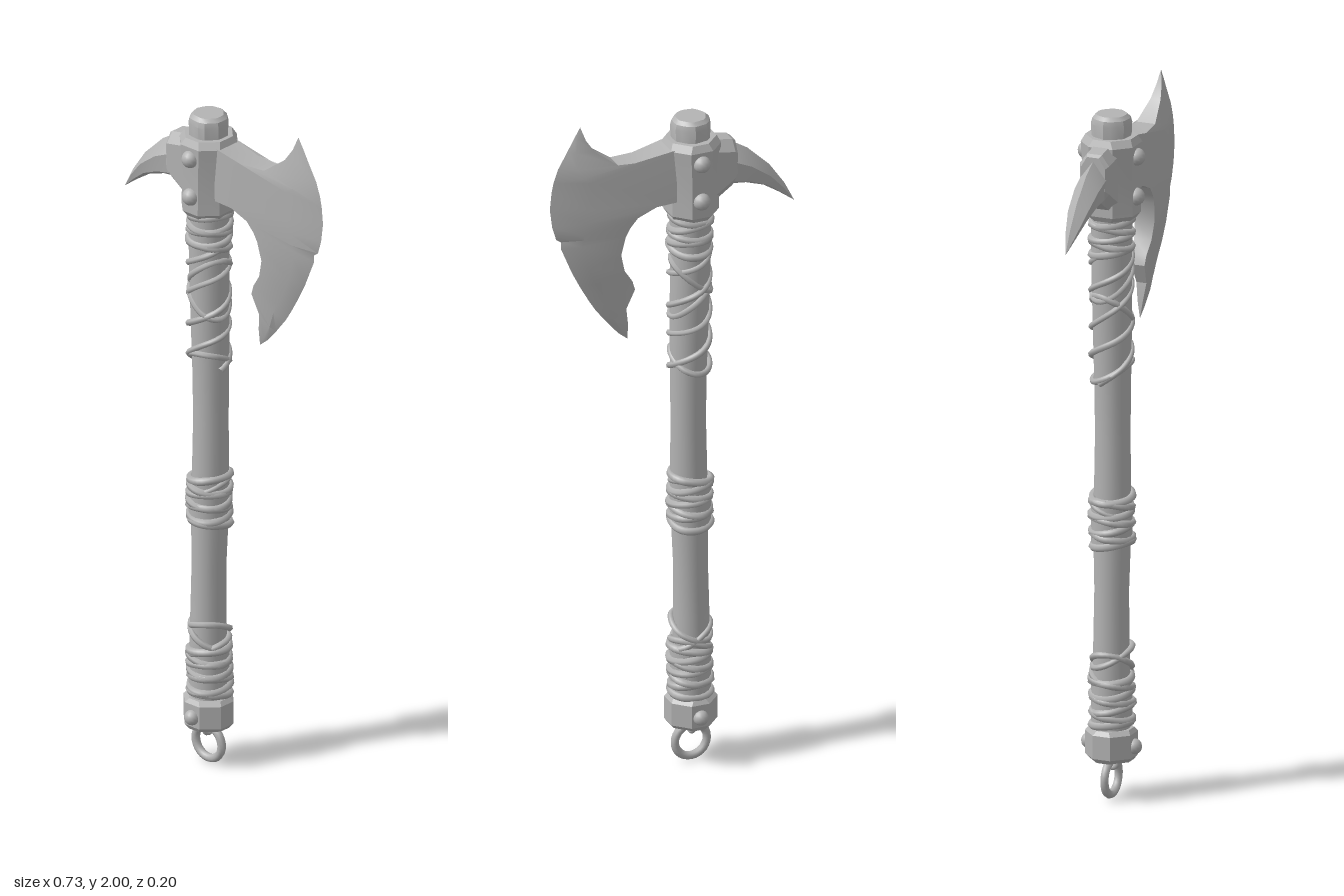
import * as THREE from 'three';
import { toCreasedNormals } from 'three/addons/utils/BufferGeometryUtils.js';

const CX = -0.06; // handle axis

// Closed skin through rings of [x, y, z] points, turned to face outward
function loft(rings, crease = 0.5) {
  const n = rings[0].length, tris = [];
  for (let i = 0; i < rings.length - 1; i++) {
    for (let j = 0; j < n; j++) {
      const k = (j + 1) % n, a = rings[i], b = rings[i + 1];
      tris.push([a[j], a[k], b[k]], [a[j], b[k], b[j]]);
    }
  }
  const first = rings[0], last = rings[rings.length - 1];
  for (let j = 1; j < n - 1; j++) {
    tris.push([first[0], first[j + 1], first[j]], [last[0], last[j], last[j + 1]]);
  }
  let volume = 0;
  const v = tris.map((t) => t.map((p) => new THREE.Vector3(...p)));
  const mid = v[Math.floor(v.length / 2)][0];
  for (const [a, b, c] of v) {
    const p = a.clone().sub(mid), q = b.clone().sub(mid), r = c.clone().sub(mid);
    volume += p.dot(q.cross(r));
  }
  const pos = [];
  for (const [a, b, c] of v) {
    for (const p of volume < 0 ? [a, c, b] : [a, b, c]) pos.push(p.x, p.y, p.z);
  }
  const g = new THREE.BufferGeometry();
  g.setAttribute('position', new THREE.Float32BufferAttribute(pos, 3));
  return toCreasedNormals(g, crease);
}

// Chamfered octagon ring at height y
function octagon(y, hx, hz, cx, cut = 0.042) {
  return [[hx, hz - cut], [hx - cut, hz], [cut - hx, hz], [-hx, hz - cut],
    [-hx, cut - hz], [cut - hx, -hz], [hx - cut, -hz], [hx, cut - hz]]
    .map(([x, z]) => [cx + x, y, z]);
}

// Cord wound about the handle from y0 to y1
function cord(y0, y1, turns, phase, radius, thick, tilt = 0, closed = false) {
  const pts = [], steps = Math.ceil(turns * 16);
  for (let i = 0; i < steps + (closed ? 0 : 1); i++) {
    const t = i / steps, a = phase + t * turns * Math.PI * 2;
    const r = radius + 0.002 * Math.sin(a * 3 + y0 * 40);
    pts.push(new THREE.Vector3(CX + 0.003 + r * Math.cos(a),
      y0 + (y1 - y0) * t + tilt * Math.sin(a + phase * 2), r * Math.sin(a)));
  }
  const curve = new THREE.CatmullRomCurve3(pts, closed);
  return new THREE.TubeGeometry(curve, steps * 2, thick, 6, closed);
}

export function createModel() {
  const model = new THREE.Group();
  const grey = new THREE.MeshStandardMaterial({ color: 0xb3b3b3 });
  grey.name = 'grey';
  const add = (name, geometry, x = 0, y = 0, z = 0) => {
    const mesh = new THREE.Mesh(geometry, grey);
    mesh.name = name;
    mesh.position.set(x, y, z);
    model.add(mesh);
    return mesh;
  };

  // Slightly crooked wooden shaft
  const profile = [[0, 0.13], [0.052, 0.14], [0.054, 0.3], [0.05, 0.45], [0.048, 0.6], [0.052, 0.75],
    [0.051, 0.9], [0.049, 1.05], [0.051, 1.2], [0.054, 1.35], [0.056, 1.5], [0.056, 1.75], [0, 1.76]];
  const shaft = new THREE.LatheGeometry(profile.map((p) => new THREE.Vector2(...p)), 20);
  const sp = shaft.attributes.position;
  for (let i = 0; i < sp.count; i++) {
    const y = sp.getY(i);
    sp.setX(i, sp.getX(i) + 0.005 * Math.sin((y - 0.7) * 4.2));
  }
  shaft.computeVertexNormals();
  add('shaft', toCreasedNormals(shaft, 0.7), CX + 0.003);

  // Worn shaft end above the head
  const knob = [[1.88, 0.053], [1.945, 0.056], [1.96, 0.052], [1.97, 0.042]].map(([y, r]) =>
    Array.from({ length: 18 }, (_, i) => {
      const a = (i / 18) * Math.PI * 2, k = r * (1 + 0.035 * Math.sin(i * 2.3));
      return [CX + k * Math.cos(a), y, k * Math.sin(a)];
    }));
  add('shaftEnd', loft(knob));

  // Head socket
  add('headSocket', loft([octagon(1.675, 0.062, 0.066, CX), octagon(1.69, 0.07, 0.076, CX),
    octagon(1.78, 0.069, 0.074, CX), octagon(1.89, 0.075, 0.078, CX), octagon(1.91, 0.066, 0.068, CX)], 0.3));

  // Blade stations: back x, y, half thickness, then cutting edge x, y
  const stations = [
    [0.272, 2.0, 0, 0.272, 2.0], [0.258, 1.96, 0.008, 0.291, 1.968], [0.235, 1.925, 0.015, 0.312, 1.93],
    [0.17, 1.876, 0.028, 0.338, 1.885], [0.09, 1.874, 0.036, 0.352, 1.845],
    [0.0, 1.895, 0.042, 0.358, 1.815], [0.0, 1.735, 0.042, 0.363, 1.765], [0.06, 1.732, 0.041, 0.356, 1.71],
    [0.115, 1.708, 0.038, 0.344, 1.67], [0.138, 1.68, 0.036, 0.33, 1.66], [0.15, 1.655, 0.034, 0.33, 1.64],
    [0.162, 1.6, 0.03, 0.297, 1.56], [0.15, 1.548, 0.026, 0.272, 1.51], [0.125, 1.51, 0.022, 0.245, 1.462],
    [0.116, 1.482, 0.02, 0.225, 1.43], [0.14, 1.425, 0.015, 0.19, 1.385],
    [0.132, 1.375, 0.008, 0.158, 1.348], [0.13, 1.325, 0, 0.13, 1.325]];
  add('blade', loft(stations.map(([bx, by, t, ex, ey]) => {
    const at = (k, z) => [bx + (ex - bx) * k, by + (ey - by) * k, z];
    return [at(0, t), at(0.7, t * 0.75), at(1, 0), at(0.7, -t * 0.75), at(0, -t)];
  }), 0.45));

  // Curved back spike: top x, y, bottom x, y, half thickness
  const spike = [[-0.1, 1.89, -0.1, 1.745, 0.04], [-0.175, 1.873, -0.185, 1.738, 0.039],
    [-0.23, 1.838, -0.225, 1.733, 0.036], [-0.295, 1.775, -0.278, 1.715, 0.029],
    [-0.34, 1.71, -0.325, 1.684, 0.016], [-0.37, 1.65, -0.37, 1.65, 0]];
  add('backSpike', loft(spike.map(([tx, ty, bx, by, t]) => {
    const at = (k, z) => [tx + (bx - tx) * k, ty + (by - ty) * k, z];
    return [at(0, 0), at(0.4, t), at(0.85, t * 0.8), at(1, 0), at(0.85, -t * 0.8), at(0.4, -t)];
  }), 0.45));

  // Collar where the spike meets the socket
  add('spikeCollar', loft([[-0.185, 1.878, 1.755, 0.036], [-0.175, 1.885, 1.745, 0.044],
    [-0.11, 1.897, 1.7, 0.045]].map(([x, top, low, t]) => [
    [x, top, t * 0.5], [x, top - 0.03, t], [x, low + 0.03, t], [x, low, t * 0.5],
    [x, low, -t * 0.5], [x, low + 0.03, -t], [x, top - 0.03, -t], [x, top, -t * 0.5]]), 0.4));

  // Pommel cap
  add('pommelCap', loft([octagon(0.115, 0.06, 0.06, CX), octagon(0.128, 0.069, 0.068, CX),
    octagon(0.195, 0.069, 0.068, CX), octagon(0.207, 0.06, 0.06, CX)], 0.3));

  // Rivets, front and back
  for (const [y, z, r] of [[1.855, 0.075, 0.025], [1.74, 0.073, 0.025], [0.157, 0.068, 0.022]]) {
    for (const side of [1, -1]) {
      add('rivet', new THREE.SphereGeometry(r, 14, 10), CX, y, side * z);
    }
  }

  // Hanging ring and its eyelet
  add('hangingRing', new THREE.TorusGeometry(0.048, 0.012, 8, 28), CX, 0.06, 0);
  add('eyelet', new THREE.TorusGeometry(0.018, 0.008, 8, 16), CX, 0.106, 0).rotation.y = Math.PI / 2;

  // Wrapped bands: bottom, top, number of cords
  for (const [y0, y1, count] of [[1.575, 1.665, 5], [0.735, 0.87, 7], [0.22, 0.35, 7]]) {
    add('wrapSleeve', new THREE.CylinderGeometry(0.057, 0.057, y1 - y0, 18, 1), CX + 0.002, (y0 + y1) / 2, 0);
    for (let i = 0; i < count; i++) {
      const y = y0 + ((y1 - y0) * i) / (count - 1);
      const tilt = 0.006 + 0.007 * Math.abs(Math.sin(i * 2.1 + y0));
      add('wrapCord', cord(y, y, 1, i * 1.7, 0.055, 0.0115, tilt, true));
    }
  }

  // Loose cords crossing along the shaft
  add('crossCord', cord(1.58, 1.21, 2, 0.3, 0.056, 0.009));
  add('crossCord', cord(1.58, 1.21, -2 * -1, 3.4, 0.056, 0.008, 0.012));
  for (const [y, phase, tilt] of [[1.49, 0.6, 0.05], [1.41, 2.2, 0.045], [1.23, 0.2, 0.03],
    [0.85, 1.2, 0.025], [0.41, 0.3, 0.03], [0.39, 2.4, 0.035], [0.36, 1.1, 0.025]]) {
    add('crossCord', cord(y, y, 1, phase, 0.054, 0.009, tilt, true));
  }
  return model;
}
